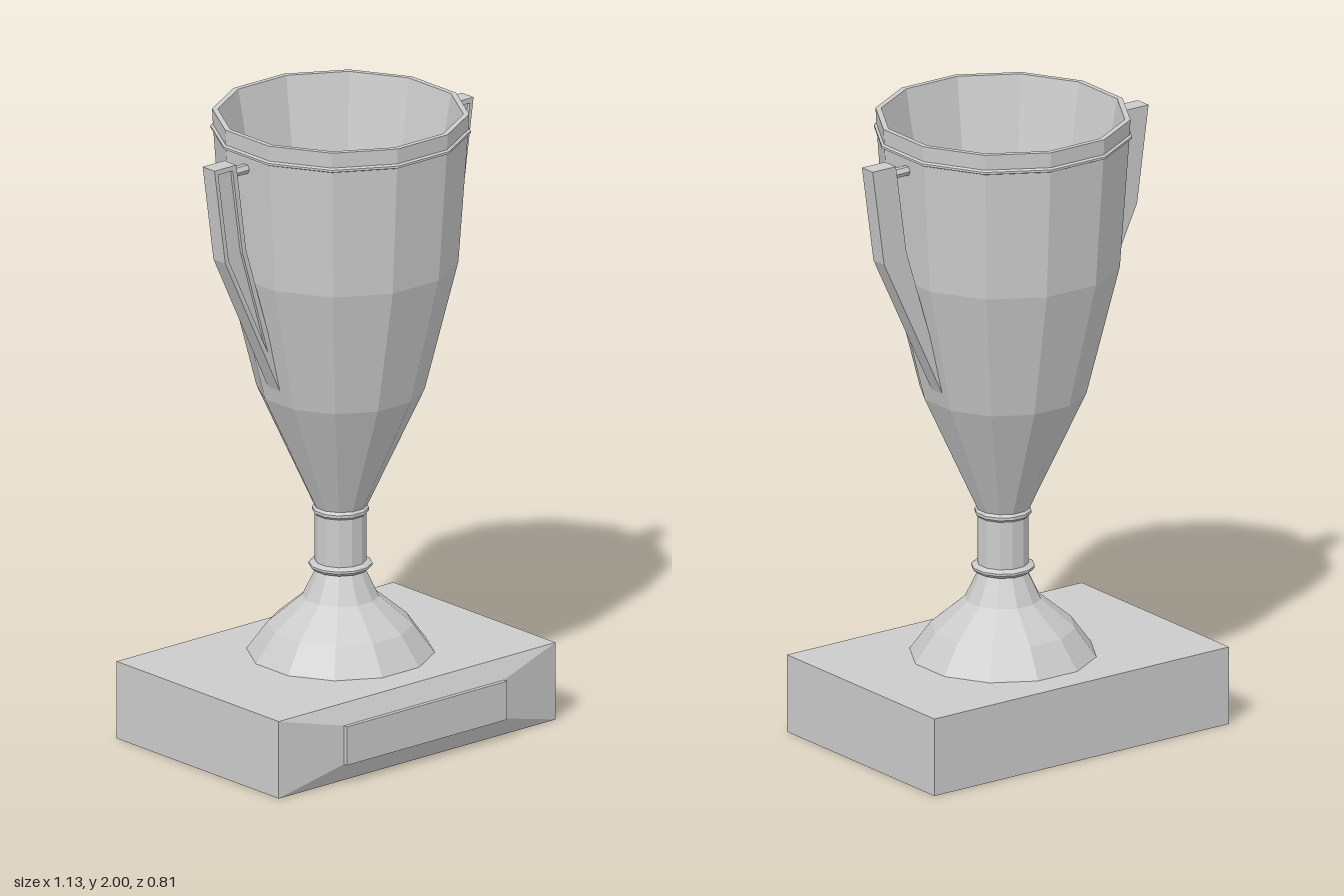
import * as THREE from 'three';

const SIDES = 12;
const FLAT = 1 / Math.cos(Math.PI / SIDES); // flat-to-flat radius -> corner radius
const CX = 0.021, CZ = -0.02;               // cup axis

const grey = () => new THREE.MeshStandardMaterial({ color: 0xcccccc, flatShading: true, side: THREE.DoubleSide });

export function createModel() {
  const model = new THREE.Group();
  const material = grey();

  const add = (name, geometry, x = 0, y = 0, z = 0) => {
    const mesh = new THREE.Mesh(geometry, material);
    mesh.name = name;
    mesh.position.set(x, y, z);
    model.add(mesh);
    return mesh;
  };

  // Twelve-sided turned part; profile is [flat radius, height], bottom to top
  const turned = (name, profile) => add(name,
    new THREE.LatheGeometry(
      profile.map(([r, y]) => new THREE.Vector2(r * FLAT, y)), SIDES, Math.PI / SIDES),
    CX, 0, CZ);

  // Plinth block
  add('plinth', new THREE.BoxGeometry(1.13, 0.25, 0.755), 0, 0.125, -0.0175);

  // Bevelled front of the plinth, tapering to the plaque
  const bevel = new THREE.BoxGeometry(1.13, 0.25, 0.032);
  const p = bevel.attributes.position;
  for (let i = 0; i < p.count; i++) {
    if (p.getZ(i) > 0) p.setXY(i, Math.sign(p.getX(i)) * 0.327, Math.sign(p.getY(i)) * 0.0625 + 0.003);
  }
  add('plinthBevel', bevel, 0, 0.125, 0.376);
  add('plaque', new THREE.BoxGeometry(0.654, 0.125, 0.016), 0, 0.128, 0.398);

  // Foot, stem and collars
  turned('foot', [[0, 0.25], [0.28, 0.25], [0.217, 0.34], [0.114, 0.43], [0.07, 0.525], [0, 0.525]]);
  turned('lowerCollar', [[0, 0.52], [0.085, 0.52], [0.095, 0.53], [0.095, 0.537], [0.08, 0.545], [0, 0.545]]);
  turned('stem', [[0.077, 0.54], [0.077, 0.71]]);
  turned('upperCollar', [[0, 0.7], [0.079, 0.7], [0.085, 0.707], [0.085, 0.716], [0.078, 0.725], [0, 0.725]]);

  // Cup: outside wall, rim, then down the inside to its floor
  turned('cup', [
    [0, 0.72], [0.08, 0.725], [0.25, 1.105], [0.35, 1.52], [0.379, 1.94],
    [0.382, 2], [0.365, 2], [0.207, 1.1], [0, 1.1],
  ]);
  turned('rimBand', [[0.378, 1.935], [0.387, 1.939], [0.387, 1.946], [0.38, 1.951]]);

  // Handles: a bent frame with a recessed web, and a peg to the cup
  for (const side of [1, -1]) {
    const name = side > 0 ? 'left' : 'right';
    const points = list => list.map(([x, y]) => new THREE.Vector2(x * side, y));
    const outline = [[0.529, 1.93], [0.485, 1.62], [0.25, 1.13], [0.25, 1.16], [0.4, 1.645], [0.44, 1.93]];
    const inset = [[0.514, 1.914], [0.471, 1.625], [0.31, 1.29], [0.415, 1.64], [0.455, 1.914]];

    const frame = new THREE.Shape(points(outline));
    frame.holes.push(new THREE.Path(points(inset)));
    const extrude = (shape, depth) => new THREE.ExtrudeGeometry(shape, { depth, bevelEnabled: false });
    add(name + 'HandleFrame', extrude(frame, 0.055), CX, 0, -0.059);
    add(name + 'HandleWeb', extrude(new THREE.Shape(points(inset)), 0.045), CX, 0, -0.059);

    const peg = new THREE.CylinderGeometry(0.016, 0.016, 0.1, 6);
    peg.rotateZ(Math.PI / 2);
    add(name + 'HandlePeg', peg, CX + side * 0.41, 1.897, -0.031);
  }
  return model;
}
